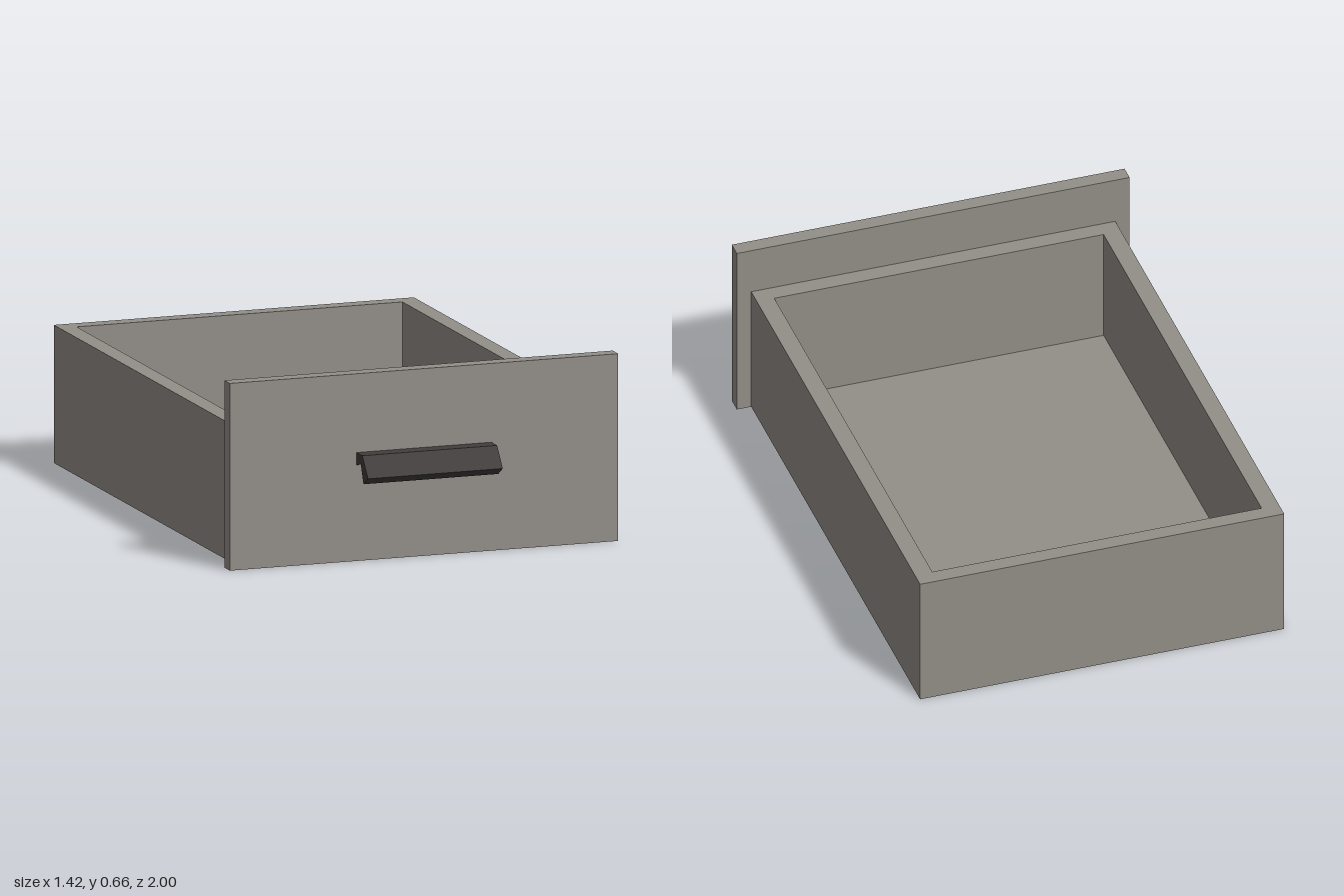
import * as THREE from 'three';

export function createModel() {
  const group = new THREE.Group();
  const wood = new THREE.MeshStandardMaterial({ color: 0x938f88 });
  wood.name = 'warm grey';
  const dark = new THREE.MeshStandardMaterial({ color: 0x423e3d });
  dark.name = 'dark grey';

  const add = (name, geometry, material) => {
    const mesh = new THREE.Mesh(geometry, material);
    mesh.name = name;
    group.add(mesh);
    return mesh;
  };
  const rect = (Type, x, y0, y1) => {
    const path = new Type();
    path.moveTo(-x, y0);
    path.lineTo(x, y0);
    path.lineTo(x, y1);
    path.lineTo(-x, y1);
    path.closePath();
    return path;
  };

  // Four walls as one ring, drawn in plan (shape y is -z) and raised
  const ring = rect(THREE.Shape, 0.66, -0.832, 1);
  ring.holes.push(rect(THREE.Path, 0.597, -0.77, 0.943));
  const walls = new THREE.ExtrudeGeometry(ring, { depth: 0.485, bevelEnabled: false });
  walls.rotateX(-Math.PI / 2);
  add('walls', walls, wood);

  // Floor panel inside the walls
  add('floor', new THREE.BoxGeometry(1.194, 0.06, 1.713), wood).position.set(0, 0.03, -0.0865);

  // Front panel, wider and taller than the box
  add('frontPanel', new THREE.BoxGeometry(1.424, 0.658, 0.055), wood).position.set(0, 0.329, 0.8595);

  // Bent pull handle, side profile given as (z, y)
  const profile = new THREE.Shape([
    [0.885, 0.337], [0.928, 0.348], [0.955, 0.283],
    [1.0, 0.311], [0.944, 0.381], [0.885, 0.381],
  ].map(([z, y]) => new THREE.Vector2(z, y)));
  const handle = new THREE.ExtrudeGeometry(profile, { depth: 0.494, bevelEnabled: false });
  handle.translate(0, 0, -0.247);
  handle.rotateY(-Math.PI / 2);
  add('handle', handle, dark);

  return group;
}
